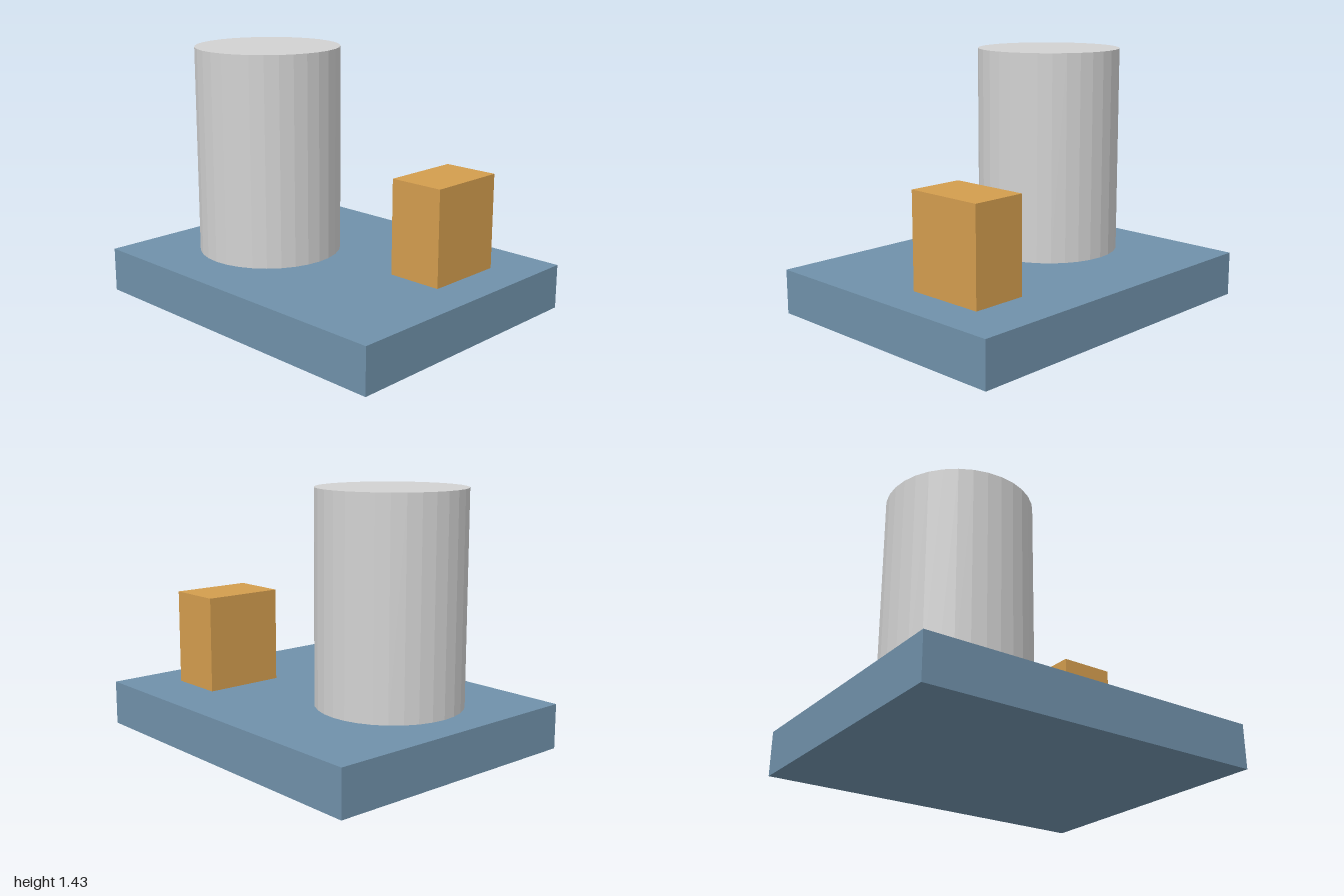
import * as THREE from 'three';

const material = (name, color) => {
  const m = new THREE.MeshStandardMaterial({ color });
  m.name = name;
  return m;
};

export function createModel() {
  const model = new THREE.Group();
  const blue = material('steel blue', 0x7091aa);
  const grey = material('light grey', 0xd2d2d2);
  const ochre = material('ochre', 0xd39d4e);

  // Adds a part whose underside rests at height y
  const add = (name, geometry, mat, x, y, z, height) => {
    const mesh = new THREE.Mesh(geometry, mat);
    mesh.name = name;
    mesh.position.set(x, y + height / 2, z);
    model.add(mesh);
  };

  const top = 0.252;

  // Base slab
  add('baseSlab', new THREE.BoxGeometry(2, top, 1.57), blue, 0, 0, 0, top);

  // Faceted upright tank
  const tank = new THREE.CylinderGeometry(0.41, 0.41, 1.18, 32).toNonIndexed();
  tank.computeVertexNormals();
  add('tank', tank, grey, -0.395, top, 0.105, 1.18);

  // Small block beside the tank
  add('block', new THREE.BoxGeometry(0.32, 0.537, 0.465), ochre, 0.605, top, -0.25, 0.537);

  return model;
}
